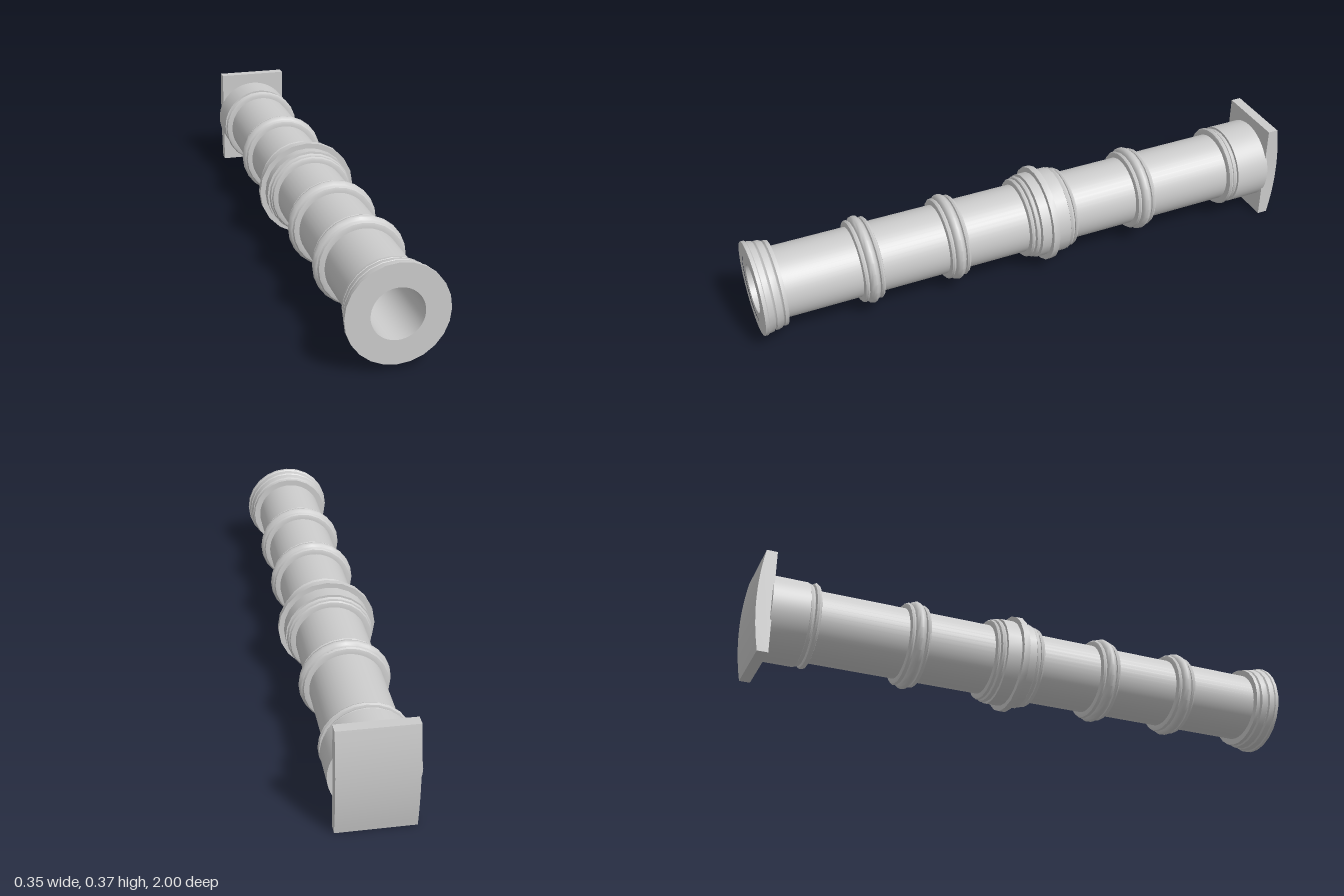
import * as THREE from 'three';
import { toCreasedNormals } from 'three/addons/utils/BufferGeometryUtils.js';

const AXIS_Y = 0.185;
const material = new THREE.MeshStandardMaterial({ color: 0xcccccc });

function addMesh(group, name, geometry) {
  const mesh = new THREE.Mesh(geometry, material);
  mesh.name = name;
  group.add(mesh);
  return mesh;
}

// Solid of revolution along z; the profile is a list of [radius, z]
function turned(group, name, profile, sides = 24) {
  const points = profile.map(([r, z]) => new THREE.Vector2(r, z));
  const geometry = new THREE.LatheGeometry(points, sides);
  geometry.rotateX(Math.PI / 2);
  geometry.translate(0, AXIS_Y, 0);
  return addMesh(group, name, toCreasedNormals(geometry, 0.6));
}

// Half-round bead profile between two z positions
function bead(z0, z1, base, peak, steps = 6) {
  const profile = [];
  for (let i = 0; i <= steps; i++) {
    const a = (Math.PI * i) / steps;
    profile.push([base + (peak - base) * Math.sin(a), (z0 + z1) / 2 - ((z1 - z0) / 2) * Math.cos(a)]);
  }
  return profile;
}

export function createModel() {
  const model = new THREE.Group();
  model.name = 'cannonBarrel';

  // Barrel with a stepped bore opening at the muzzle
  turned(model, 'barrel', [
    [0, -0.95], [0.125, -0.95], [0.125, 0.998], [0.085, 0.998],
    [0.085, 0.4], [0.042, 0.4], [0.042, 0.2], [0, 0.2],
  ], 48);

  // Stepped muzzle collar
  turned(model, 'muzzleCollar', [
    [0.12, 0.915], [0.148, 0.915], [0.15, 0.928], [0.144, 0.932],
    [0.152, 0.936], [0.156, 0.95], [0.156, 0.958], [0.152, 0.962],
    [0.158, 0.966], [0.161, 0.985], [0.165, 0.988], [0.165, 1], [0.12, 1],
  ]);

  // Reinforcing bands: a rounded bead between two thin lips
  for (const z of [0.611, 0.297, -0.434]) {
    turned(model, 'reinforcingBand', [
      [0.12, z - 0.037],
      ...bead(z - 0.037, z - 0.019, 0.134, 0.147, 4),
      ...bead(z - 0.018, z + 0.018, 0.137, 0.156),
      ...bead(z + 0.019, z + 0.037, 0.134, 0.147, 4),
      [0.12, z + 0.037],
    ]);
  }

  // Central joint with beads either side and a raised flange
  turned(model, 'centralJoint', [
    [0.12, -0.155],
    ...bead(-0.155, -0.14, 0.135, 0.147, 4),
    ...bead(-0.14, -0.118, 0.138, 0.153, 4),
    [0.155, -0.118], [0.155, -0.008],
    ...bead(-0.006, 0.013, 0.138, 0.151, 4),
    ...bead(0.013, 0.031, 0.134, 0.146, 4),
    [0.12, 0.031],
  ]);
  turned(model, 'centralFlange', [
    [0.14, -0.066], [0.174, -0.066], [0.174, -0.043], [0.14, -0.043],
  ], 20);

  // Breech sleeve and its front band
  turned(model, 'breechSleeve', [
    [0, -0.95], [0.146, -0.95], [0.146, -0.822], [0.12, -0.822],
  ], 48);
  turned(model, 'breechBand', [
    [0.12, -0.822],
    ...bead(-0.822, -0.804, 0.134, 0.143, 4),
    ...bead(-0.804, -0.783, 0.136, 0.149, 4),
    [0.12, -0.783],
  ]);

  // Breech plate: flat inside, gently bowed on the back
  const side = new THREE.Shape();
  side.moveTo(0.945, 0);
  side.lineTo(0.982, 0);
  side.quadraticCurveTo(1.018, AXIS_Y, 0.982, 0.37);
  side.lineTo(0.945, 0.37);
  side.closePath();
  const plate = new THREE.ExtrudeGeometry(side, { depth: 0.258, bevelEnabled: false, curveSegments: 12 });
  plate.translate(0, 0, -0.129);
  plate.rotateY(Math.PI / 2);
  addMesh(model, 'breechPlate', toCreasedNormals(plate, 0.6));

  return model;
}
